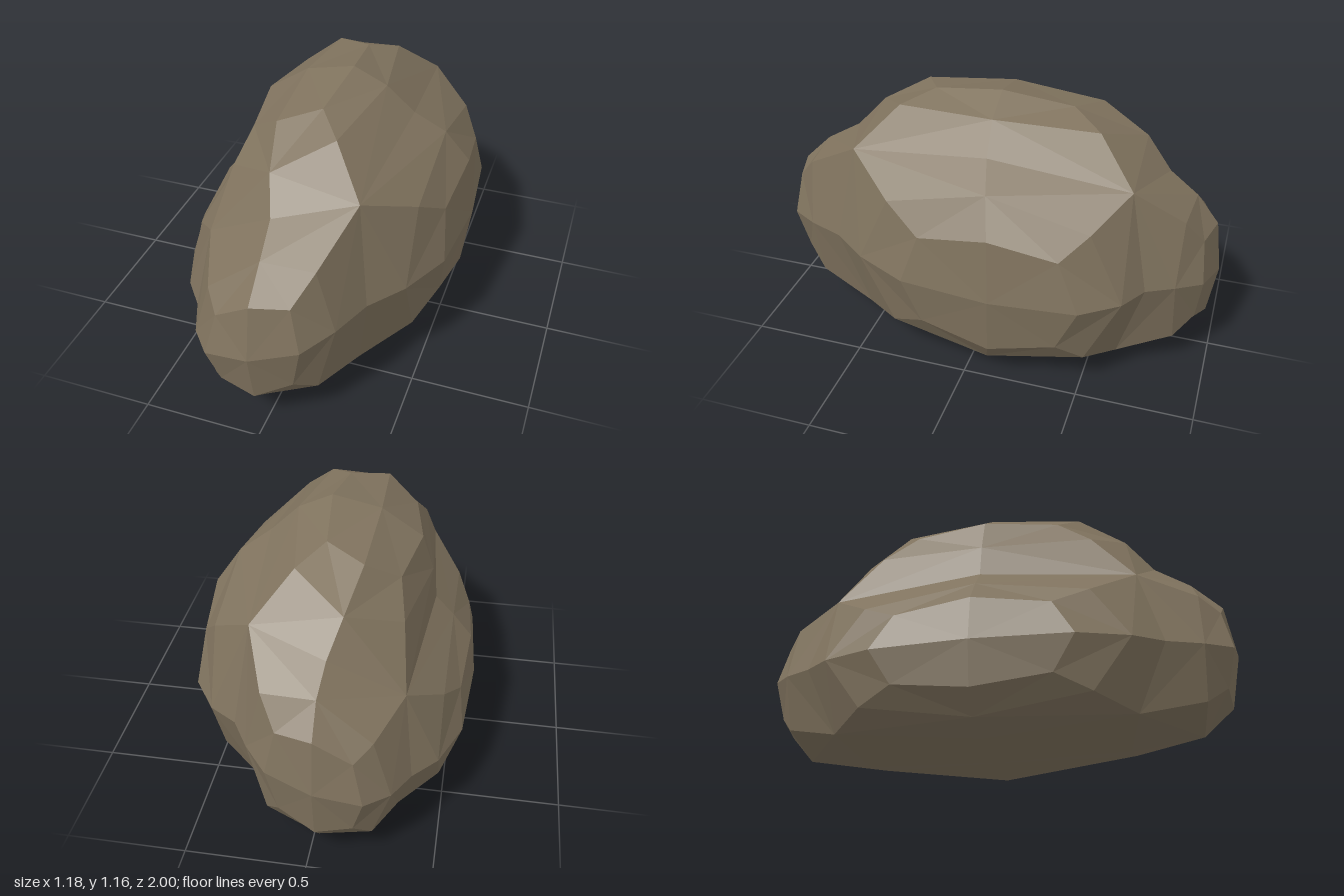
import * as THREE from 'three';

// Box cage corners, ordered by x, then y, then z (low to high)
const corners = [
  [-0.37, 0, -0.77], [0.31, 0, -0.71], [-0.37, 0.68, -0.77], [0.31, 0.97, -0.71],
  [-0.37, 0, 0.69], [0.31, 0, 0.63], [-0.37, 0.68, 0.69], [0.31, 0.97, 0.63],
];

// Each side of the box swells into a lobe around its tip centre
const lobes = [
  { face: [4, 5, 7, 6], tip: [-0.03, 0.4, 0.997] },   // front
  { face: [1, 0, 2, 3], tip: [-0.03, 0.4, -1.0] },    // back
  { face: [5, 1, 3, 7], tip: [0.587, 0.47, -0.135] }, // left
  { face: [0, 4, 6, 2], tip: [-0.592, 0.322, -0.04] }, // right
  { face: [6, 7, 3, 2], tip: [-0.155, 1.115, -0.035] }, // top
];
const bottom = [0, 1, 5, 4];
const TAPER = 0.7;

const average = (list) =>
  list.reduce((sum, p) => sum.add(p), new THREE.Vector3()).divideScalar(list.length);

// Extrude the lobes from the box, each with a smaller end face
function buildCage() {
  const points = corners.map((c) => new THREE.Vector3(...c));
  const faces = [bottom];
  for (const { face, tip } of lobes) {
    const centre = average(face.map((i) => points[i]));
    const end = face.map((i) => {
      const p = points[i].clone().sub(centre).multiplyScalar(TAPER);
      return points.push(p.add(new THREE.Vector3(...tip))) - 1;
    });
    faces.push(end);
    face.forEach((a, k) => {
      const n = (k + 1) % 4;
      faces.push([a, face[n], end[n], end[k]]);
    });
  }
  return { points, faces };
}

// One round of Catmull-Clark subdivision on a closed quad mesh
function subdivide({ points, faces }) {
  const key = (a, b) => (a < b ? `${a}_${b}` : `${b}_${a}`);
  const facePoints = faces.map((f) => average(f.map((i) => points[i])));
  const edges = new Map();
  const around = points.map(() => ({ faces: [], mids: [] }));
  faces.forEach((f, fi) => f.forEach((a, k) => {
    const b = f[(k + 1) % 4];
    around[a].faces.push(facePoints[fi]);
    if (!edges.has(key(a, b))) {
      edges.set(key(a, b), { ends: [points[a], points[b]], sides: [] });
      const mid = average([points[a], points[b]]);
      around[a].mids.push(mid);
      around[b].mids.push(mid);
    }
    edges.get(key(a, b)).sides.push(facePoints[fi]);
  }));
  for (const e of edges.values()) e.point = average([...e.ends, ...e.sides]);
  const moved = points.map((p, i) => {
    const n = around[i].faces.length;
    return average(around[i].faces)
      .addScaledVector(average(around[i].mids), 2)
      .addScaledVector(p, n - 3)
      .divideScalar(n);
  });
  const quads = [];
  faces.forEach((f, fi) => f.forEach((a, k) => {
    const next = edges.get(key(a, f[(k + 1) % 4])).point;
    const prev = edges.get(key(a, f[(k + 3) % 4])).point;
    quads.push([moved[a], next, facePoints[fi], prev]);
  }));
  return quads;
}

export function createModel() {
  const positions = [];
  for (const [a, b, c, d] of subdivide(buildCage())) {
    for (const p of [a, b, c, a, c, d]) positions.push(p.x, p.y, p.z);
  }
  const geometry = new THREE.BufferGeometry();
  geometry.setAttribute('position', new THREE.Float32BufferAttribute(positions, 3));
  geometry.computeVertexNormals();

  const stone = new THREE.MeshStandardMaterial({ color: 0x80735e });
  stone.name = 'brown stone';
  stone.flatShading = true;

  const boulder = new THREE.Mesh(geometry, stone);
  boulder.name = 'boulder';

  const group = new THREE.Group();
  group.name = 'rock';
  group.add(boulder);
  return group;
}
